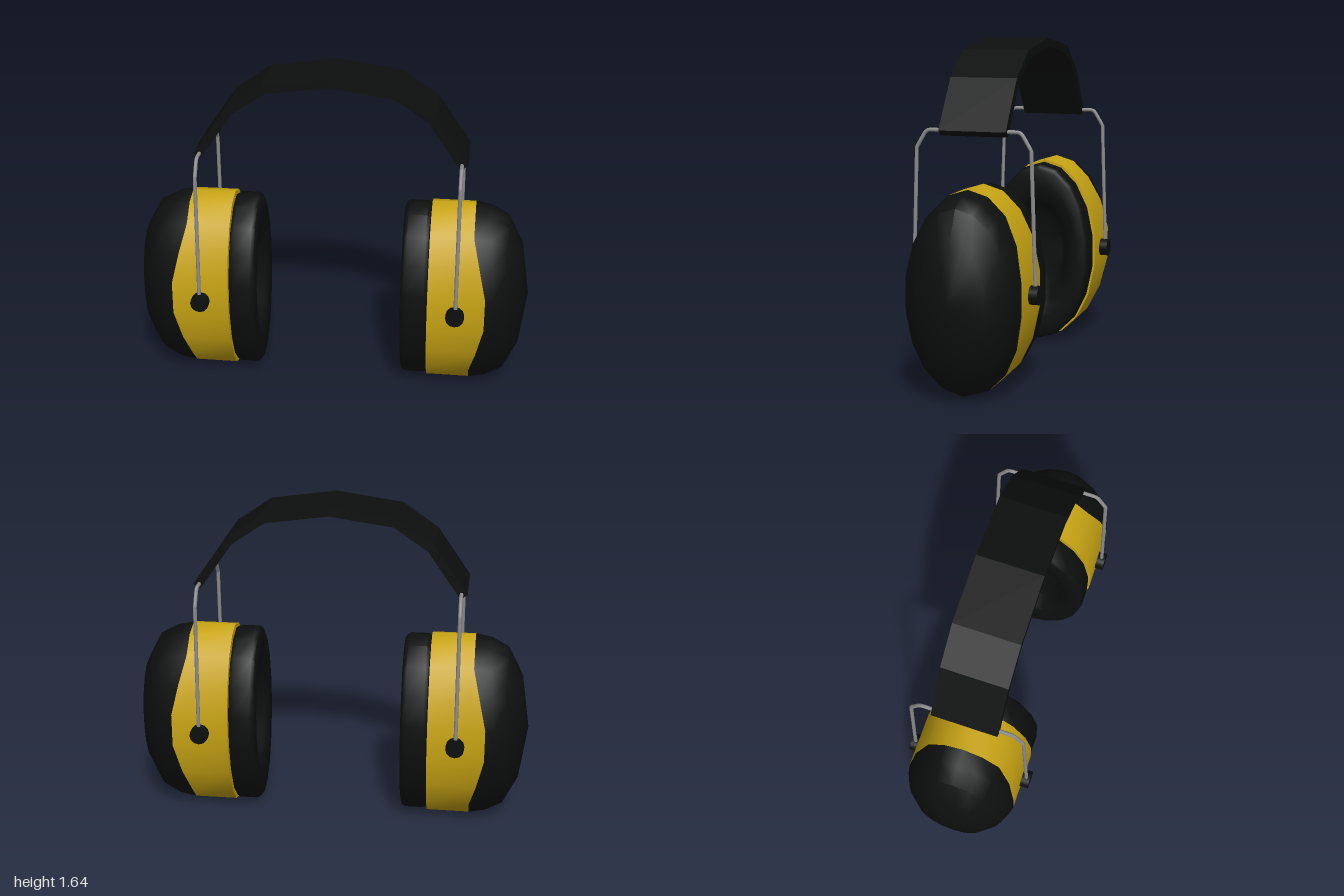
import * as THREE from 'three';
import { toCreasedNormals } from 'three/addons/utils/BufferGeometryUtils.js';

const SIDES = 18, CENTRE_Y = 0.49, HALF_H = 0.485, HALF_D = 0.283;

const black = new THREE.MeshStandardMaterial({ color: 0x0c0f0e });
const yellow = new THREE.MeshStandardMaterial({ color: 0xc8a414 });
const steel = new THREE.MeshStandardMaterial({ color: 0x8c8c8c });

function add(parent, name, geometry, material) {
  const mesh = new THREE.Mesh(geometry, material);
  mesh.name = name;
  parent.add(mesh);
  return mesh;
}

// Skin elliptical rings along x; each ring is [x, radius], x may be a function of the angle
function loft(rings, crease = 0.7) {
  const positions = [], index = [];
  for (const [x, r] of rings) {
    for (let j = 0; j < SIDES; j++) {
      const a = (j / SIDES) * Math.PI * 2;
      positions.push(
        typeof x === 'function' ? x(a) : x,
        CENTRE_Y + HALF_H * r * Math.cos(a),
        HALF_D * r * Math.sin(a));
    }
  }
  for (let i = 0; i < rings.length - 1; i++) {
    for (let j = 0; j < SIDES; j++) {
      const k = (j + 1) % SIDES;
      const a = i * SIDES + j, b = i * SIDES + k;
      const c = a + SIDES, d = b + SIDES;
      if (rings[i][1] > 0) index.push(a, b, c);
      if (rings[i + 1][1] > 0) index.push(b, d, c);
    }
  }
  const g = new THREE.BufferGeometry();
  g.setAttribute('position', new THREE.Float32BufferAttribute(positions, 3));
  g.setIndex(index);
  return toCreasedNormals(g, crease);
}

// Seam between shell and cap: bulges outward at the front and back of the cup
const seam = (a) => 0.717 + 0.068 * (1 - THREE.MathUtils.smoothstep(Math.abs(Math.cos(a)), 0.2, 0.78));
const shoulder = (a) => 0.8 + (seam(a) - 0.717) * 0.35;

function earCup() {
  const cup = new THREE.Group();

  add(cup, 'shell', loft([[0.5, 0], [0.5, 1], [seam, 1]]), yellow);

  add(cup, 'outerCap', loft([
    [seam, 1], [shoulder, 0.967], [0.885, 0.87], [0.96, 0.57], [1, 0],
  ]), black);

  // Ring cushion with a dished opening for the ear
  add(cup, 'earCushion', loft([
    [0.46, 0], [0.46, 0.4], [0.435, 0.5], [0.39, 0.56], [0.37, 0.65], [0.365, 0.75],
    [0.365, 0.92], [0.373, 0.96], [0.39, 0.98], [0.48, 0.98], [0.495, 0.96], [0.5, 0.9],
  ]), black);

  // Wire yoke running from the front pivot, through the band end, to the back pivot
  const half = [[0.49, 0.302], [1.155, 0.28], [1.225, 0.238], [1.238, 0.222]];
  const path = [
    ...half.map(([y, z]) => new THREE.Vector3(0.642, y, z)),
    ...half.reverse().map(([y, z]) => new THREE.Vector3(0.642, y, -z)),
  ];
  const curve = new THREE.CatmullRomCurve3(path, false, 'catmullrom', 0);
  add(cup, 'wireYoke', new THREE.TubeGeometry(curve, 140, 0.0095, 8), steel);

  // Pivot buttons
  for (const side of [1, -1]) {
    const pivot = add(cup, side > 0 ? 'frontPivot' : 'backPivot',
      new THREE.CylinderGeometry(0.046, 0.046, 0.05, 12), black);
    pivot.rotation.x = Math.PI / 2;
    pivot.position.set(0.64, 0.487, side * 0.296);
  }
  return cup;
}

function headband() {
  // Outer edge then inner edge, from the middle to one end
  const outer = [[0, 1.645], [0.33, 1.598], [0.508, 1.475], [0.672, 1.238]];
  const inner = [[0, 1.602], [0.312, 1.558], [0.476, 1.446], [0.638, 1.212]];
  const mirror = (p) => p.slice(1).map(([x, y]) => [-x, y]);
  const outline = [
    ...mirror(outer).reverse(), ...outer,
    ...inner.slice().reverse(), ...mirror(inner),
  ];
  const shape = new THREE.Shape(outline.map(([x, y]) => new THREE.Vector2(x, y)));
  const g = new THREE.ExtrudeGeometry(shape, { depth: 0.328, bevelEnabled: false });
  g.translate(0, 0, -0.167);
  return g;
}

export function createModel() {
  const model = new THREE.Group();
  model.name = 'earDefenders';

  add(model, 'headband', headband(), black);

  const left = earCup();
  left.name = 'leftEarCup';
  const right = earCup();
  right.name = 'rightEarCup';
  right.rotation.y = Math.PI;
  model.add(left, right);

  return model;
}
